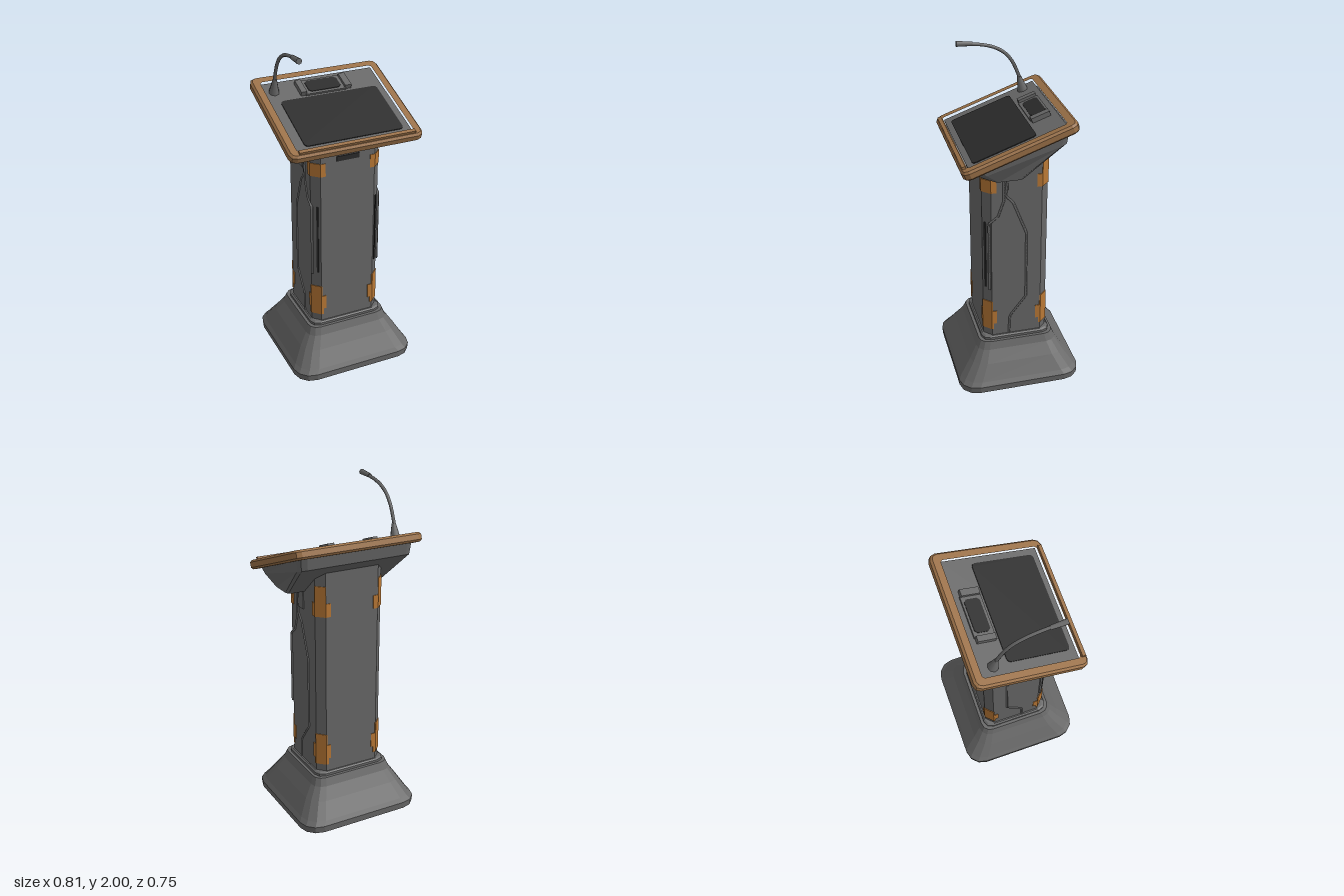
import * as THREE from 'three';

const grey = new THREE.MeshStandardMaterial({ color: 0x686868 });
grey.name = 'grey body';
const dark = new THREE.MeshStandardMaterial({ color: 0x2b2b2b });
dark.name = 'dark inlay';
const wood = new THREE.MeshStandardMaterial({ color: 0x9b7148 });
wood.name = 'wood';
const orange = new THREE.MeshStandardMaterial({ color: 0xb97835 });
orange.name = 'orange accent';

function add(parent, name, geometry, material, x = 0, y = 0, z = 0) {
  const mesh = new THREE.Mesh(geometry, material);
  mesh.name = name;
  mesh.position.set(x, y, z);
  parent.add(mesh);
  return mesh;
}

// Plan outline with rounded corners; seg = 1 gives plain chamfers
function outline(hx, z0, z1, r, seg) {
  const points = [];
  const corners = [[1, 1], [-1, 1], [-1, -1], [1, -1]];
  corners.forEach(([sx, sz], k) => {
    for (let i = 0; i <= seg; i++) {
      const a = (k + i / seg) * Math.PI / 2;
      const cz = sz > 0 ? z1 - r : z0 + r;
      points.push([sx * (hx - r) + r * Math.cos(a), cz + r * Math.sin(a)]);
    }
  });
  return points;
}

// Flat-shaded closed loft through rings listed bottom to top; slope tilts a ring along z
function loft(rings, seg) {
  const pos = [], index = [];
  const n = 4 * (seg + 1);
  for (const { hx, z0, z1, y, r, slope = 0 } of rings) {
    for (const [x, z] of outline(hx, z0, z1, r, seg)) pos.push(x, y + slope * z, z);
  }
  const first = rings[0], last = rings[rings.length - 1];
  for (const { z0, z1, y, slope = 0 } of [first, last]) {
    const z = (z0 + z1) / 2;
    pos.push(0, y + slope * z, z);
  }
  const bottom = rings.length * n, top = bottom + 1, lastRow = (rings.length - 1) * n;
  for (let i = 0; i < n; i++) {
    const j = (i + 1) % n;
    for (let k = 0; k < rings.length - 1; k++) {
      const a = k * n + i, b = k * n + j;
      index.push(a, a + n, b, b, a + n, b + n);
    }
    index.push(bottom, i, j, top, lastRow + j, lastRow + i);
  }
  const g = new THREE.BufferGeometry();
  g.setAttribute('position', new THREE.Float32BufferAttribute(pos, 3));
  g.setIndex(index);
  const flat = g.toNonIndexed();
  flat.computeVertexNormals();
  return flat;
}

const ring = (hx, hz, y, r) => ({ hx, z0: -hz, z1: hz, y, r });

// Horizontal slab from plan points [x, z], rising from y = 0
function slab(points, height) {
  const shape = new THREE.Shape(points.map(([x, z]) => new THREE.Vector2(x, -z)));
  const g = new THREE.ExtrudeGeometry(shape, { depth: height, bevelEnabled: false });
  return g.rotateX(-Math.PI / 2);
}

// Thin plate wrapped round one chamfered column corner
function cornerPatch(sx, sz, reachX, reachZ, height) {
  const hx = 0.214, hz = 0.195, c = 0.045, t = 0.004;
  const path = (o) => [
    [hx - c - reachX, hz + o], [hx - c + o / 2, hz + o],
    [hx + o, hz - c + o / 2], [hx + o, hz - c - reachZ],
  ];
  const points = [...path(t), ...path(-0.004).reverse()];
  return slab(points.map(([x, z]) => [x * sx, z * sz]), height);
}

function createModel() {
  const model = new THREE.Group();
  model.name = 'lectern';

  // Flared foot and collar
  add(model, 'base', loft([
    ring(0.385, 0.375, 0, 0.11), ring(0.388, 0.377, 0.04, 0.11),
    ring(0.37, 0.36, 0.065, 0.11), ring(0.315, 0.295, 0.155, 0.09),
    ring(0.268, 0.25, 0.225, 0.07), ring(0.25, 0.23, 0.272, 0.06),
  ], 3), grey);
  add(model, 'collar', loft([
    ring(0.232, 0.212, 0.265, 0.05), ring(0.232, 0.212, 0.287, 0.05), ring(0.222, 0.203, 0.295, 0.05),
  ], 2), grey);

  // Chamfered column with a sloping top hidden in the head
  add(model, 'column', loft([
    { hx: 0.214, z0: -0.195, z1: 0.195, y: 0.28, r: 0.045 },
    { hx: 0.214, z0: -0.195, z1: 0.195, y: 1.52, r: 0.045, slope: -0.3 },
  ], 1), grey);
  add(model, 'frontVent', new THREE.BoxGeometry(0.14, 0.03, 0.008), dark, 0, 1.37, 0.196);

  // Ridges and slots on both sides, orange wraps on all four corners
  for (const s of [-1, 1]) {
    const ridges = {
      rearRidge: [[0.045, 1.4], [0.065, 1.25], [0.02, 1.2], [-0.06, 0.99], [-0.06, 0.55], [0.04, 0.42], [0.045, 0.29]],
      frontRidge: [[0.075, 1.4], [0.075, 1.22], [0.11, 1.12], [0.163, 1.08], [0.163, 0.63]],
    };
    for (const [name, points] of Object.entries(ridges)) {
      const curve = new THREE.CatmullRomCurve3(
        points.map(([z, y]) => new THREE.Vector3(s * 0.213, y, z)), false, 'catmullrom', 0);
      add(model, name, new THREE.TubeGeometry(curve, 48, 0.008, 4), grey);
    }
    add(model, 'cableBlock', new THREE.BoxGeometry(0.012, 0.11, 0.06), grey, s * 0.214, 1.34, 0.02);
    const slot = add(model, 'cornerSlot', new THREE.BoxGeometry(0.012, 0.44, 0.008), dark, s * 0.185, 0.86, 0.182);
    slot.rotation.y = s * Math.PI / 4;

    for (const f of [-1, 1]) {
      add(model, 'upperAccent', cornerPatch(s, f, 0.03, 0.03, 0.08), orange, 0, f > 0 ? 1.275 : 1.285, 0);
      add(model, 'middleAccent', cornerPatch(s, f, 0.004, 0.004, 0.07), orange, 0, 0.47, 0);
      add(model, 'lowerAccent', cornerPatch(s, f, 0.03, 0.03, 0.09), orange, 0, 0.38, 0);
      add(model, 'bottomAccent', cornerPatch(s, f, 0.015, 0.01, 0.04), orange, 0, 0.34, 0);
    }
    add(model, 'rearTopAccent', cornerPatch(s, -1, 0, 0, 0.1), orange, 0, 1.365, 0);
  }

  // Tapered housing under the desk
  add(model, 'housing', loft([
    { hx: 0.32, z0: -0.02, z1: 0.16, y: 1.395, r: 0.03 },
    { hx: 0.355, z0: -0.258, z1: 0.25, y: 1.521, r: 0.045, slope: -0.304 },
    { hx: 0.362, z0: -0.268, z1: 0.29, y: 1.582, r: 0.045, slope: -0.359 },
  ], 2), grey);

  // Tilted desk: everything inside is laid out flat and leaned as a group
  const desk = new THREE.Group();
  desk.name = 'desk';
  desk.position.set(0, 1.593, 0.02);
  desk.rotation.x = 0.345;
  model.add(desk);

  const toShape = (points, Kind) => new Kind(points.map(([x, z]) => new THREE.Vector2(x, -z)));
  const frameShape = toShape(outline(0.391, -0.329, 0.329, 0.03, 2), THREE.Shape);
  frameShape.holes.push(toShape(outline(0.352, -0.288, 0.299, 0.012, 1), THREE.Path));
  const frame = new THREE.ExtrudeGeometry(frameShape, {
    depth: 0.031, bevelThickness: 0.012, bevelSize: 0.012, bevelSegments: 1,
  });
  frame.rotateX(-Math.PI / 2);
  add(desk, 'woodFrame', frame, wood, 0, -0.0155, 0);
  add(desk, 'frontLip', new THREE.BoxGeometry(0.7, 0.018, 0.022), wood, 0, 0.033, 0.315);
  add(desk, 'panel', new THREE.BoxGeometry(0.7, 0.035, 0.58), grey, 0, -0.005, 0.005);
  add(desk, 'readingPad', slab(outline(0.3, -0.117, 0.262, 0.02, 2), 0.005), dark, 0.01, 0.0125, 0);

  // Small display between two brackets
  add(desk, 'displayHousing', new THREE.BoxGeometry(0.25, 0.012, 0.12), grey, 0, 0.018, -0.192);
  add(desk, 'display', slab(outline(0.1, -0.24, -0.148, 0.015, 1), 0.004), dark, 0, 0.0235, 0);
  for (const [x, w] of [[-0.138, 0.035], [0.138, 0.04]]) {
    add(desk, 'displayBracket', new THREE.BoxGeometry(w, 0.03, 0.11), grey, x, 0.025, -0.192);
  }

  // Gooseneck microphone
  add(model, 'microphoneBase', new THREE.CylinderGeometry(0.012, 0.032, 0.09, 8), grey, -0.295, 1.715, -0.158)
    .rotation.x = 0.25;
  const neck = new THREE.CatmullRomCurve3([
    [-0.17, 1.69], [-0.145, 1.765], [-0.105, 1.855], [-0.06, 1.91], [0, 1.947], [0.07, 1.968], [0.15, 1.979],
  ].map(([z, y]) => new THREE.Vector3(-0.297, y, z)));
  add(model, 'microphoneNeck', new THREE.TubeGeometry(neck, 24, 0.01, 8), grey);
  add(model, 'microphoneHead', new THREE.CylinderGeometry(0.017, 0.013, 0.095, 8), grey, -0.298, 1.982, 0.178)
    .rotation.x = Math.PI / 2 - 0.07;

  return model;
}

export { createModel };
